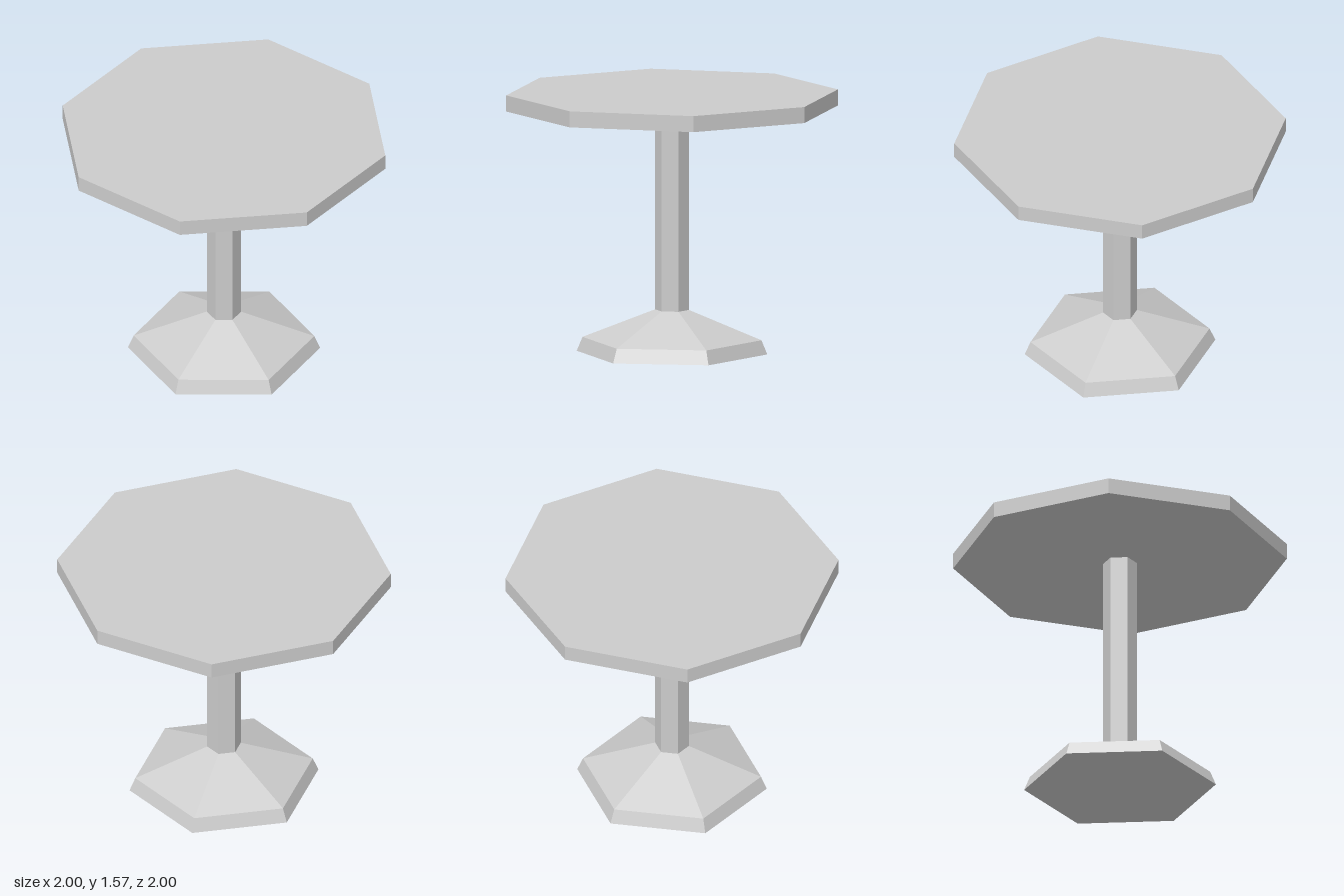
import * as THREE from 'three';

export function createModel() {
  const table = new THREE.Group();
  table.name = 'pedestalTable';
  const lightGrey = new THREE.MeshStandardMaterial({ color: 0xcccccc });
  lightGrey.name = 'lightGrey';
  lightGrey.flatShading = true;

  // Faceted prism or frustum standing between two heights
  function addPrism(name, sides, topRadius, bottomRadius, y0, y1, open = false) {
    const geometry = new THREE.CylinderGeometry(topRadius, bottomRadius, y1 - y0, sides, 1, open);
    const mesh = new THREE.Mesh(geometry, lightGrey);
    mesh.name = name;
    mesh.position.y = (y0 + y1) / 2;
    table.add(mesh);
  }

  // Octagonal top
  addPrism('tableTop', 8, 1, 1, 1.475, 1.572);

  // Hexagonal column
  addPrism('column', 6, 0.102, 0.102, 0.26, 1.475, true);

  // Hexagonal foot: a sloping skirt with a closed underside, flaring up to the column
  const footProfile = [[0, 0], [0.575, 0], [0.54, 0.085], [0.102, 0.26]];
  const foot = new THREE.Mesh(
    new THREE.LatheGeometry(footProfile.map(([r, y]) => new THREE.Vector2(r, y)), 6),
    lightGrey
  );
  foot.name = 'foot';
  table.add(foot);

  return table;
}
